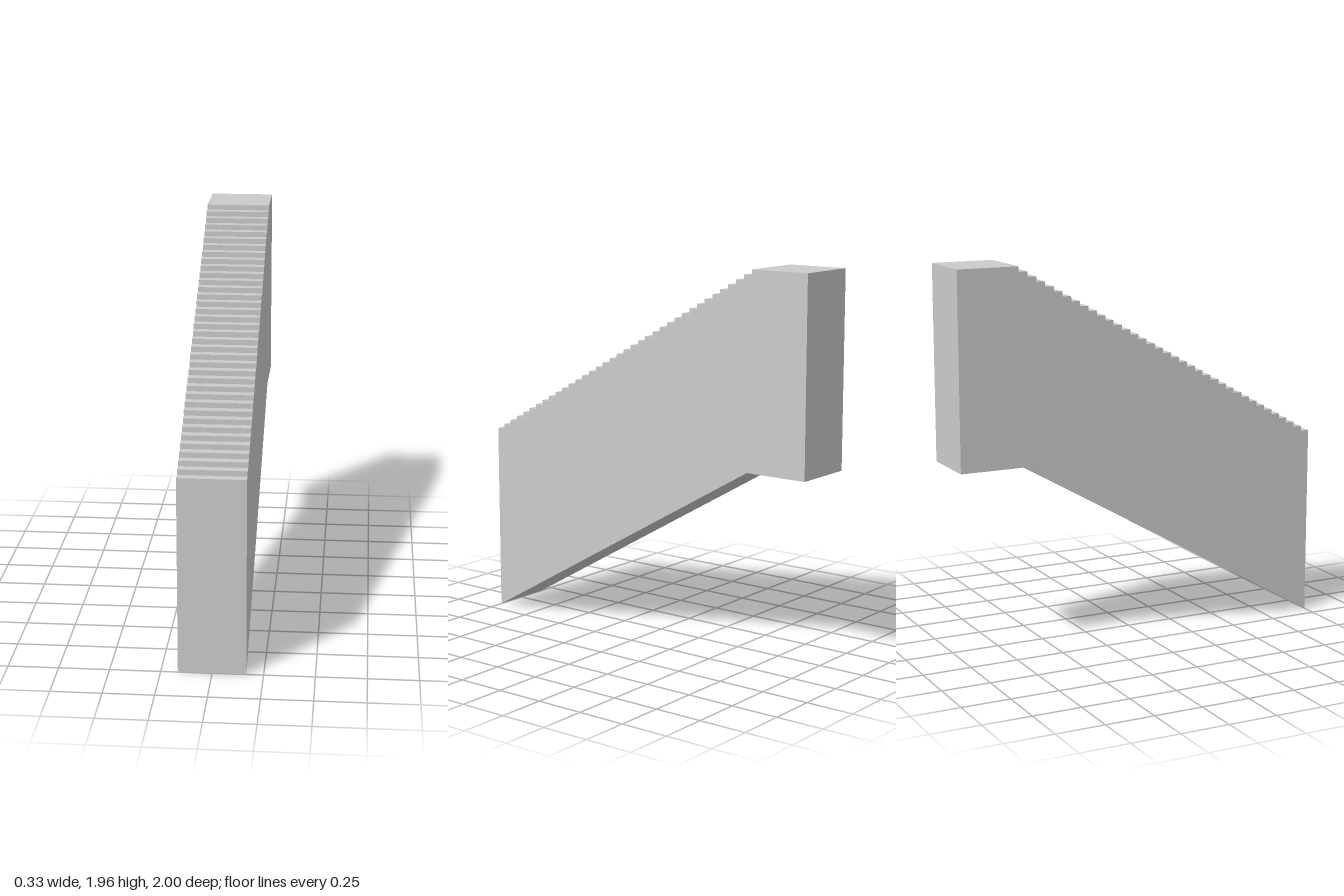
import * as THREE from 'three';

export function createModel() {
  const group = new THREE.Group();
  const steps = 36, width = 0.333;
  const baseTop = 1.0, top = 1.962;      // lowest tread and landing heights
  const landingFront = -0.68;            // z where the landing begins
  const run = (1 - landingFront) / steps;
  const rise = (top - baseTop) / steps;

  // Side profile drawn as (z, y): underside, landing, then steps back down
  const profile = new THREE.Shape();
  profile.moveTo(1, 0);
  profile.lineTo(1, baseTop);
  for (let i = 1; i <= steps; i++) {
    const z = 1 - i * run;
    profile.lineTo(z, baseTop + (i - 1) * rise); // tread
    profile.lineTo(z, baseTop + i * rise);       // riser
  }
  profile.lineTo(-1, top);
  profile.lineTo(-1, 0.962);
  profile.lineTo(-0.662, 0.962);
  profile.closePath();

  // Extrude across the width, then turn the profile into the yz plane
  const geometry = new THREE.ExtrudeGeometry(profile, { depth: width, bevelEnabled: false });
  geometry.translate(0, 0, -width / 2);
  geometry.rotateY(-Math.PI / 2);

  const staircase = new THREE.Mesh(
    geometry,
    new THREE.MeshStandardMaterial({ color: 0xcccccc, flatShading: true })
  );
  staircase.name = 'staircaseWithLanding';
  group.add(staircase);
  group.name = 'staircase';
  return group;
}
